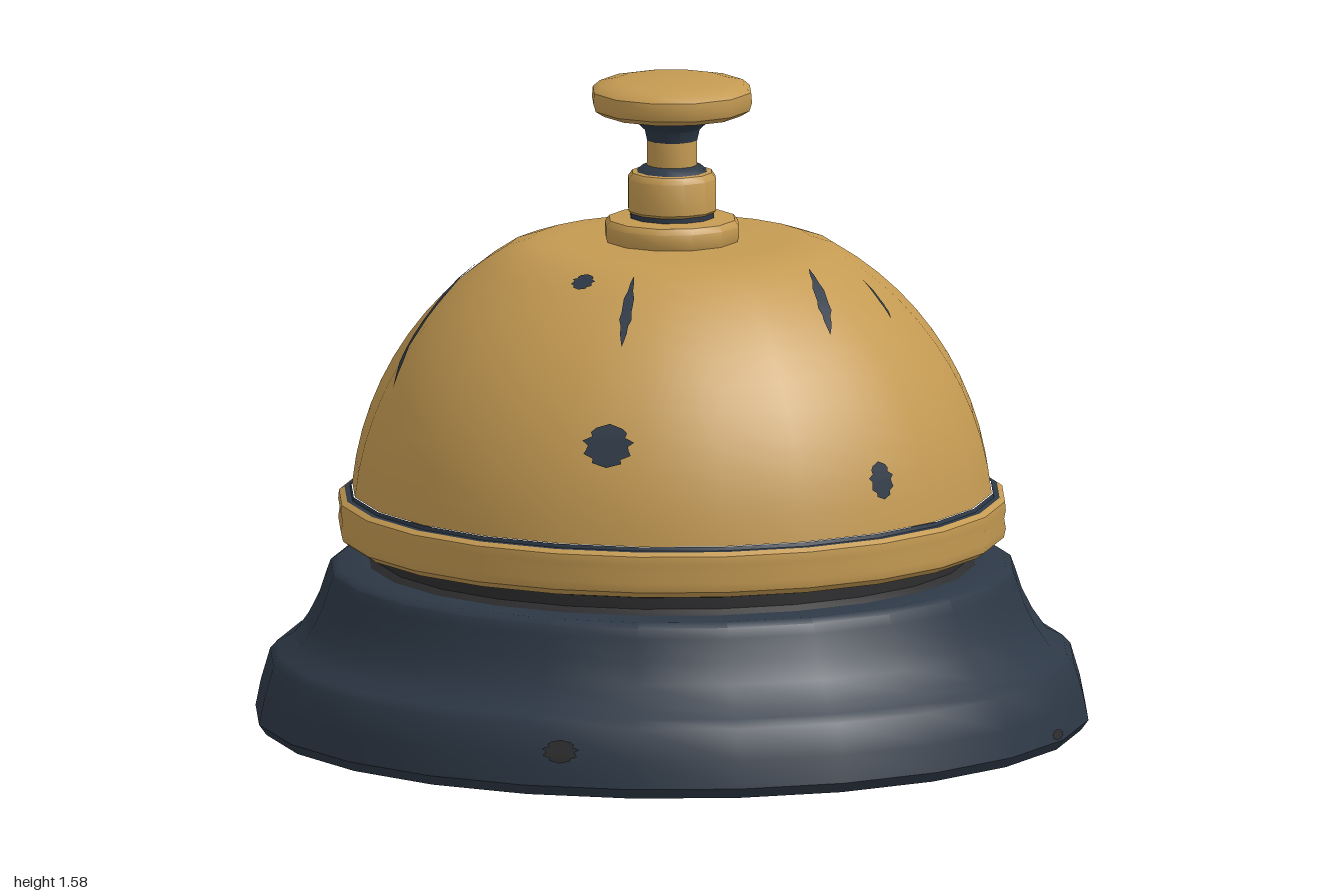
import * as THREE from 'three';
import { toCreasedNormals } from 'three/addons/utils/BufferGeometryUtils.js';

const paint = (name, color) => Object.assign(new THREE.MeshStandardMaterial({ color }), { name });

export function createModel() {
  const bell = new THREE.Group();
  bell.name = 'deskBell';
  const gold = paint('gold', 0xc49a52);
  const navy = paint('navy', 0x2d3846);
  const charcoal = paint('charcoal', 0x2d2d2f);
  const chipNavy = navy.clone();
  chipNavy.name = 'chippedNavy';
  chipNavy.side = THREE.DoubleSide;
  const chipDark = charcoal.clone();
  chipDark.name = 'chippedCharcoal';
  chipDark.side = THREE.DoubleSide;

  // Turned part; radii are measured to the middle of the flats
  function turned(name, profile, sides, material, crease = 0.65) {
    const k = 1 / Math.cos(Math.PI / sides);
    const points = profile.map(([r, y]) => new THREE.Vector2(r * k, y));
    const lathe = new THREE.LatheGeometry(points, sides, Math.PI / sides);
    const mesh = new THREE.Mesh(toCreasedNormals(lathe, crease), material);
    mesh.name = name;
    bell.add(mesh);
  }

  // Base with stepped foot and flared shoulder
  const baseWall = [[0.98, 0], [0.998, 0.025], [0.985, 0.09], [0.963, 0.165], [0.945, 0.185], [0.905, 0.205],
    [0.87, 0.255], [0.845, 0.305], [0.827, 0.36], [0.818, 0.385], [0.8, 0.397]];
  turned('base', [[0, 0], ...baseWall, [0.71, 0.4]], 24, navy);
  turned('neck', [[0.73, 0.397], [0.71, 0.412], [0.71, 0.44], [0.73, 0.458]], 24, charcoal);

  // Bell: underside, rim, worn seam and dome
  turned('bellUnderside', [[0.69, 0.457], [0.775, 0.453]], 24, navy);
  turned('rim', [[0.775, 0.453], [0.795, 0.468], [0.8, 0.49], [0.796, 0.515], [0.8, 0.535], [0.798, 0.556],
    [0.785, 0.565]], 24, gold);
  turned('rimSeam', [[0.785, 0.565], [0.772, 0.566], [0.769, 0.575]], 24, navy);
  const R = 0.77, CY = 0.5;
  const dome = [];
  for (let i = 0; i <= 12; i++) {
    const a = 0.098 + (i / 12) * (1.12 - 0.098);
    dome.push([R * Math.cos(a), CY + R * Math.sin(a) - (i === 12 ? 0.012 : 0)]);
  }
  turned('dome', [...dome, [0.27, 1.183], [0, 1.185]], 24, gold);

  // Plunger assembly
  turned('collar', [[0.155, 1.18], [0.16, 1.195], [0.16, 1.222], [0.15, 1.236], [0.1, 1.24]], 12, gold);
  turned('lowerGroove', [[0.1, 1.238], [0.1, 1.254]], 12, navy);
  turned('sleeve', [[0.1, 1.252], [0.105, 1.258], [0.105, 1.335], [0.095, 1.35], [0.08, 1.352]], 12, gold);
  turned('upperGroove', [[0.085, 1.35], [0.068, 1.365], [0.058, 1.368]], 12, navy);
  turned('stem', [[0.06, 1.36], [0.06, 1.43]], 12, gold);
  turned('buttonUnderside', [[0.06, 1.428], [0.066, 1.455], [0.09, 1.478], [0.165, 1.492]], 12, navy);
  turned('button', [[0.165, 1.492], [0.185, 1.505], [0.191, 1.525], [0.189, 1.55], [0.172, 1.565],
    [0.13, 1.574], [0, 1.577]], 12, gold);

  // Moves a point onto the faceted surface of a 24-sided profile, just above it
  function settle(p, profile) {
    const az = Math.atan2(p.x, p.z), step = Math.PI / 12;
    const off = az - Math.round(az / step) * step;
    const y = THREE.MathUtils.clamp(p.y, profile[0][1], profile[profile.length - 1][1]);
    let i = 1;
    while (i < profile.length - 1 && profile[i][1] < y) i++;
    const [r0, y0] = profile[i - 1], [r1, y1] = profile[i];
    const r = (r0 + (r1 - r0) * (y - y0) / (y1 - y0)) / Math.cos(off) + 0.004;
    return new THREE.Vector3(r * Math.sin(az), y + 0.003, r * Math.cos(az));
  }

  // Closed patch made of paired left and right edge points
  function strip(name, pairs, material) {
    const index = [];
    for (let i = 0; i < pairs.length - 1; i++) {
      const a = i * 2;
      index.push(a, a + 1, a + 2, a + 1, a + 3, a + 2);
    }
    const geometry = new THREE.BufferGeometry().setFromPoints(pairs.flat());
    geometry.setIndex(index);
    geometry.computeVertexNormals();
    // keep the normals pointing out of the model
    const n = geometry.attributes.normal, p = geometry.attributes.position;
    if (n.getX(2) * p.getX(2) + n.getZ(2) * p.getZ(2) < 0) {
      geometry.setIndex(index.reverse());
      geometry.computeVertexNormals();
    }
    const mesh = new THREE.Mesh(geometry, material);
    mesh.name = name;
    bell.add(mesh);
  }

  // Ragged tapered mark between two points on a profile
  function mark(name, from, to, width, profile, material, blunt = 1) {
    const dir = to.clone().sub(from).normalize();
    const mid = from.clone().add(to).multiplyScalar(0.5);
    const normal = new THREE.Vector3(mid.x, profile === dome ? mid.y - CY : 0, mid.z).normalize();
    const side = normal.cross(dir).normalize();
    const pairs = [];
    for (let i = 0; i <= 10; i++) {
      const t = i / 10;
      const half = width / 2 * Math.pow(Math.max(0, Math.sin(Math.PI * t)), blunt) * (1 + 0.2 * Math.sin(i * 2.4));
      const c = from.clone().lerp(to, t);
      pairs.push([-half, half].map(h => settle(c.clone().addScaledVector(side, h), profile)));
    }
    strip(name, pairs, material);
  }

  // Scratches and chips on the dome, placed in plan
  const onDome = (x, z) => new THREE.Vector3(x, CY + Math.sqrt(Math.max(0, R * R - x * x - z * z)), z);
  [
    [-0.41, 0.13, -0.51, 0.46, 0.032],
    [0.1, 0.38, 0.155, 0.545, 0.026],
    [0.4, 0.06, 0.53, 0.19, 0.034],
    [0.46, -0.1, 0.56, -0.06, 0.014],
    [0.28, -0.67, 0.19, -0.54, 0.03],
  ].forEach(([x0, z0, x1, z1, w]) => mark('scratch', onDome(x0, z0), onDome(x1, z1), w, dome, chipNavy));
  const chip = (name, x, y, z, w, h, profile, material) => mark(name,
    new THREE.Vector3(x, y - h / 2, z), new THREE.Vector3(x, y + h / 2, z), w, profile, material, 0.5);
  chip('domeChip', 0.19, 0.805, 0.68, 0.11, 0.1, dome, chipNavy);
  chip('domeChip', 0.7, 0.695, 0.25, 0.07, 0.09, dome, chipNavy);
  chip('domeChip', -0.015, 1.145, 0.4, 0.05, 0.03, dome, chipNavy);

  // Faint worn spots on the base
  chip('baseChip', 0.21, 0.105, 0.96, 0.08, 0.055, baseWall, chipDark);
  chip('baseChip', -0.93, 0.115, 0.3, 0.05, 0.04, baseWall, chipDark);
  chip('baseChip', 0.99, 0.04, -0.1, 0.05, 0.025, baseWall, chipDark);

  return bell;
}
